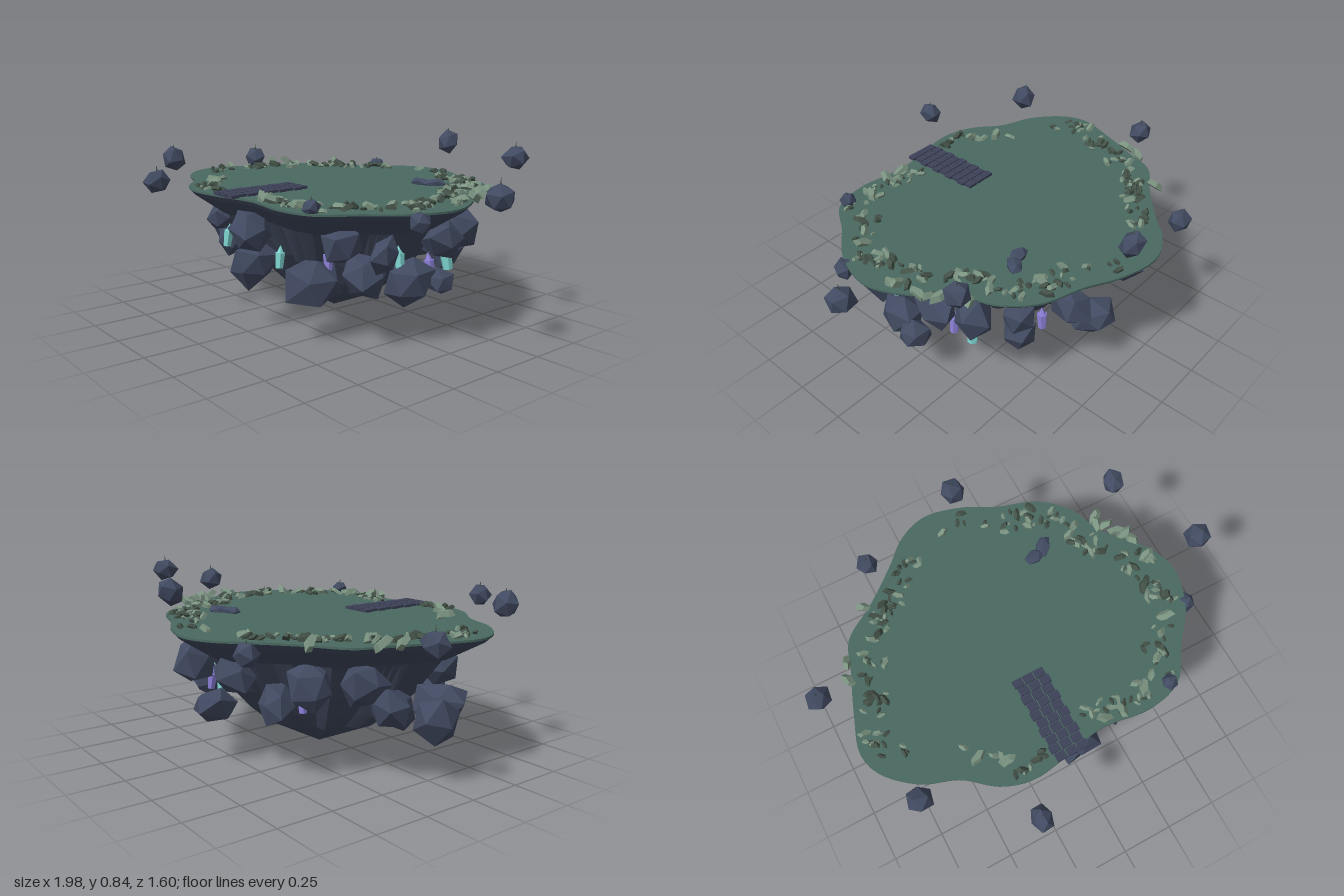
import * as THREE from 'three';

const mat = (name, color) => {
  const m = new THREE.MeshStandardMaterial({ color, flatShading: true });
  m.name = name;
  return m;
};

// Small seeded random generator
function seeded(seed) {
  let s = seed;
  return () => {
    s = (s * 16807) % 2147483647;
    return s / 2147483647;
  };
}

const CX = -0.07, CZ = -0.05, N = 132;

// Wavy shoreline of the island, [x, z]
const SHORE = [
  [-0.15, -0.785], [0.03, -0.75], [0.19, -0.67], [0.38, -0.6], [0.5, -0.48], [0.565, -0.32],
  [0.68, -0.19], [0.767, 0], [0.715, 0.2], [0.59, 0.36], [0.485, 0.5], [0.32, 0.545],
  [0.08, 0.52], [-0.13, 0.56], [-0.29, 0.577], [-0.425, 0.535], [-0.56, 0.43], [-0.72, 0.365],
  [-0.855, 0.24], [-0.89, 0.13], [-0.84, -0.05], [-0.77, -0.24], [-0.72, -0.375],
  [-0.56, -0.49], [-0.4, -0.625], [-0.29, -0.73],
];

export function createModel() {
  const rand = seeded(4711);
  const span = (a, b) => a + (b - a) * rand();
  const grass = mat('grass', 0x4a6961);
  const cliff = mat('cliff', 0x3f475b);
  const rock = mat('rock', 0x414a61);
  const paving = mat('paving', 0x3d4157);
  const leafLight = mat('paleLeaf', 0x7a9280);
  const leafDark = mat('darkLeaf', 0x435147);
  const teal = mat('tealCrystal', 0x7fd6d2);
  const purple = mat('purpleCrystal', 0x8b7fd6);

  const model = new THREE.Group();
  const add = (parent, name, geo, material, x = 0, y = 0, z = 0) => {
    const m = new THREE.Mesh(geo, material);
    m.name = name;
    m.position.set(x, y, z);
    parent.add(m);
    return m;
  };
  const section = (name) => {
    const g = new THREE.Group();
    g.name = name;
    model.add(g);
    return g;
  };

  const curve = new THREE.CatmullRomCurve3(SHORE.map(([x, z]) => new THREE.Vector3(x, 0, z)), true);
  const shore = curve.getSpacedPoints(N).slice(0, N);

  // Irregular folds: one random depth every three samples, straight in between
  const folds = Array.from({ length: N / 3 }, (_, i) => (i % 2 ? -0.5 : 0.4) + span(-0.7, 0.7));
  const pleats = shore.map((_, i) => {
    const k = Math.floor(i / 3);
    return THREE.MathUtils.lerp(folds[k], folds[(k + 1) % folds.length], (i % 3) / 3);
  });

  // Skin between scaled copies of the shoreline; rings are [scale, y, pleat]
  function loft(rings) {
    const pos = [], index = [];
    for (const [scale, y, pleat = 0] of rings) {
      shore.forEach((p, i) => {
        const k = scale * (1 + pleat * pleats[i]);
        pos.push(CX + (p.x - CX) * k, y, CZ + (p.z - CZ) * k);
      });
    }
    for (let r = 0; r < rings.length - 1; r++) {
      for (let i = 0; i < N; i++) {
        const j = (i + 1) % N, a = r * N, b = a + N;
        index.push(a + i, a + j, b + i, a + j, b + j, b + i);
      }
    }
    const g = new THREE.BufferGeometry();
    g.setAttribute('position', new THREE.Float32BufferAttribute(pos, 3));
    g.setIndex(index);
    g.computeVertexNormals();
    return g;
  }
  add(model, 'grassTop', loft([[0, 0.606], [1, 0.606], [1, 0.597]]), grass);
  add(model, 'cliffRim', loft([[0.998, 0.597], [0.97, 0.575], [0.79, 0.49], [0.7, 0.485]]), cliff);
  add(model, 'rockCone', loft([[0.76, 0.49, 0.03], [0.6, 0.32, 0.09], [0.46, 0.21, 0.11],
    [0.34, 0.13, 0.11], [0, 0]]), cliff);

  // Faceted boulder: icosahedron with each corner pushed in or out
  function boulderGeo(rough) {
    const g = new THREE.IcosahedronGeometry(1, 0), p = g.attributes.position;
    const push = new Map(), v = new THREE.Vector3();
    for (let i = 0; i < p.count; i++) {
      v.fromBufferAttribute(p, i);
      const key = v.toArray().map((c) => Math.round(c * 10) + 0).join();
      if (!push.has(key)) push.set(key, 1 + span(-rough, rough));
      v.multiplyScalar(push.get(key));
      p.setXYZ(i, v.x, v.y, v.z);
    }
    g.computeVertexNormals();
    return g;
  }
  function boulder(parent, name, x, y, z, r, rough) {
    const m = add(parent, name, boulderGeo(rough), rock, x, y, z);
    m.rotation.set(span(0, 6), span(0, 6), span(0, 6));
    m.scale.set(r * span(1, 1 + rough * 1.5), r, r * span(1 - rough * 1.5, 1));
    return m;
  }

  // Boulders clinging to the underside
  const under = section('undersideBoulders');
  [
    [-0.79, 0.27, 0.0, 0.1], [-0.68, 0.3, 0.13, 0.1], [-0.58, 0.43, 0.22, 0.1], [-0.5, 0.3, 0.26, 0.08],
    [-0.16, 0.42, 0.42, 0.06], [0, 0.45, 0.48, 0.1], [-0.02, 0.3, 0.44, 0.105], [0.26, 0.26, 0.34, 0.115],
    [0.42, 0.45, 0.3, 0.09], [0.48, 0.32, 0.24, 0.1], [0.56, 0.41, 0.2, 0.085], [0.55, 0.27, 0.05, 0.1],
    [0.6, 0.26, -0.08, 0.075], [0.53, 0.42, -0.16, 0.09], [0.48, 0.44, -0.32, 0.1], [0.3, 0.28, -0.43, 0.09],
    [0.34, 0.43, -0.45, 0.08], [0.15, 0.43, -0.58, 0.1], [-0.01, 0.25, -0.58, 0.1], [-0.2, 0.43, -0.58, 0.095],
    [-0.33, 0.31, -0.47, 0.09], [-0.48, 0.42, -0.4, 0.1], [-0.62, 0.42, -0.24, 0.1],
    [-0.68, 0.32, -0.15, 0.095], [-0.58, 0.27, -0.01, 0.1], [-0.4, 0.44, 0.38, 0.07],
  ].forEach(([x, y, z, r]) => boulder(under, 'undersideBoulder', x, y, z, r, 0.18));

  // Small boulders floating around the rim, each with a sprig on top
  const floating = section('floatingRocks');
  [
    [0.01, 0.765, -0.755, 0.061], [-0.485, 0.58, -0.7, 0.052], [-0.945, 0.635, -0.18, 0.06],
    [-0.745, 0.695, 0.44, 0.06], [-0.335, 0.66, 0.74, 0.056], [0.45, 0.625, 0.485, 0.039],
    [0.735, 0.57, 0.175, 0.046], [0.93, 0.67, -0.055, 0.065], [0.69, 0.77, -0.445, 0.056],
  ].forEach(([x, y, z, r]) => {
    boulder(floating, 'floatingRock', x, y, z, r, 0.09);
    add(floating, 'sprig', new THREE.ConeGeometry(0.005, 0.03, 4), leafDark, x, y + r, z);
  });

  // Fallen stones lying on the grass
  const fallen = section('fallenStones');
  [[0.22, -0.345, 0.055, 0.2], [0.28, -0.375, 0.055, 0.9]].forEach(([x, z, r, turn]) => {
    const m = boulder(fallen, 'fallenStone', x, 0.613, z, r, 0.12);
    m.rotation.set(0, turn, 0);
    m.scale.set(r * 1.05, 0.024, r * 0.7);
  });

  // Brick path leading to the front edge
  const path = section('brickPath');
  for (let row = 0; row < 10; row++) {
    for (let col = 0; col < 3; col++) {
      const shift = row % 2 ? 0.004 : -0.004;
      add(path, 'brick', new THREE.BoxGeometry(0.047, 0.014, 0.037), paving,
        -0.138 + col * 0.053 + shift, 0.611, 0.17 + row * 0.0415);
    }
  }

  // Angular leaf flakes scattered in a band just inside the shoreline
  const tufts = section('edgeTufts');
  const flakeGeo = new THREE.CylinderGeometry(0.75, 1, 1, 5);
  function flake(x, z, s, material) {
    const m = add(tufts, 'flake', flakeGeo, material, x, 0.608 + s * 0.35, z);
    m.scale.set(s * 1.35, s * 0.75, s * 0.6);
    m.rotation.set(span(-0.7, 0.7), span(0, 6.3), span(-0.7, 0.7), 'YXZ');
  }
  for (let i = 0; i < 240; i++) {
    const p = shore[Math.floor(rand() * N)];
    const k = span(0.78, 0.95);
    const x = CX + (p.x - CX) * k, z = CZ + (p.z - CZ) * k;
    const onPath = x > -0.19 && x < 0.02 && z > 0.1;
    const bare = (x < -0.4 && z > 0.15) || (x < -0.1 && z < -0.6);
    if (onPath || (bare && rand() < 0.8)) continue;
    flake(x, z, span(0.012, 0.028), rand() < 0.5 ? leafLight : leafDark);
  }
  // Larger pale clumps overhanging the edge
  [[0.59, -0.33], [0.63, -0.28], [0.57, -0.39], [0.67, -0.21], [0.56, -0.35], [0.65, -0.25], [-0.6, -0.49],
    [-0.77, -0.28], [-0.8, -0.2], [0.2, 0.49], [0.34, 0.45], [0.12, 0.49], [-0.35, 0.45], [-0.45, 0.38],
    [0.68, -0.1], [0.6, 0.2]].forEach(([x, z]) => flake(x, z, 0.036, leafLight));

  // Crystals hanging below the rim, leaning slightly outwards
  const crystals = section('crystals');
  [
    [-0.295, 0.36, 0.41, 1.05, teal], [0.04, 0.31, 0.35, 1, teal], [0.53, 0.36, 0.085, 1, teal],
    [0.45, 0.29, -0.29, 1.25, teal], [0.02, 0.33, -0.52, 1.05, teal], [-0.45, 0.38, 0.27, 0.8, teal],
    [0.45, 0.27, -0.18, 1.05, purple], [0.31, 0.345, 0.29, 1, purple], [-0.14, 0.3, 0.34, 1, purple],
    [-0.37, 0.3, -0.36, 1, purple], [-0.57, 0.3, -0.1, 1, purple], [0.2, 0.3, -0.47, 1, purple],
  ].forEach(([x, y, z, s, material]) => {
    const c = new THREE.Group();
    c.name = 'crystal';
    add(c, 'crystalShaft', new THREE.CylinderGeometry(0.024, 0.018, 0.07, 6), material);
    add(c, 'crystalPoint', new THREE.ConeGeometry(0.017, 0.035, 6), material, 0, 0.052, 0);
    c.position.set(x, y, z);
    c.scale.setScalar(s);
    c.rotation.set((z - CZ) * -0.3, 0, (x - CX) * 0.3);
    crystals.add(c);
  });

  return model;
}
